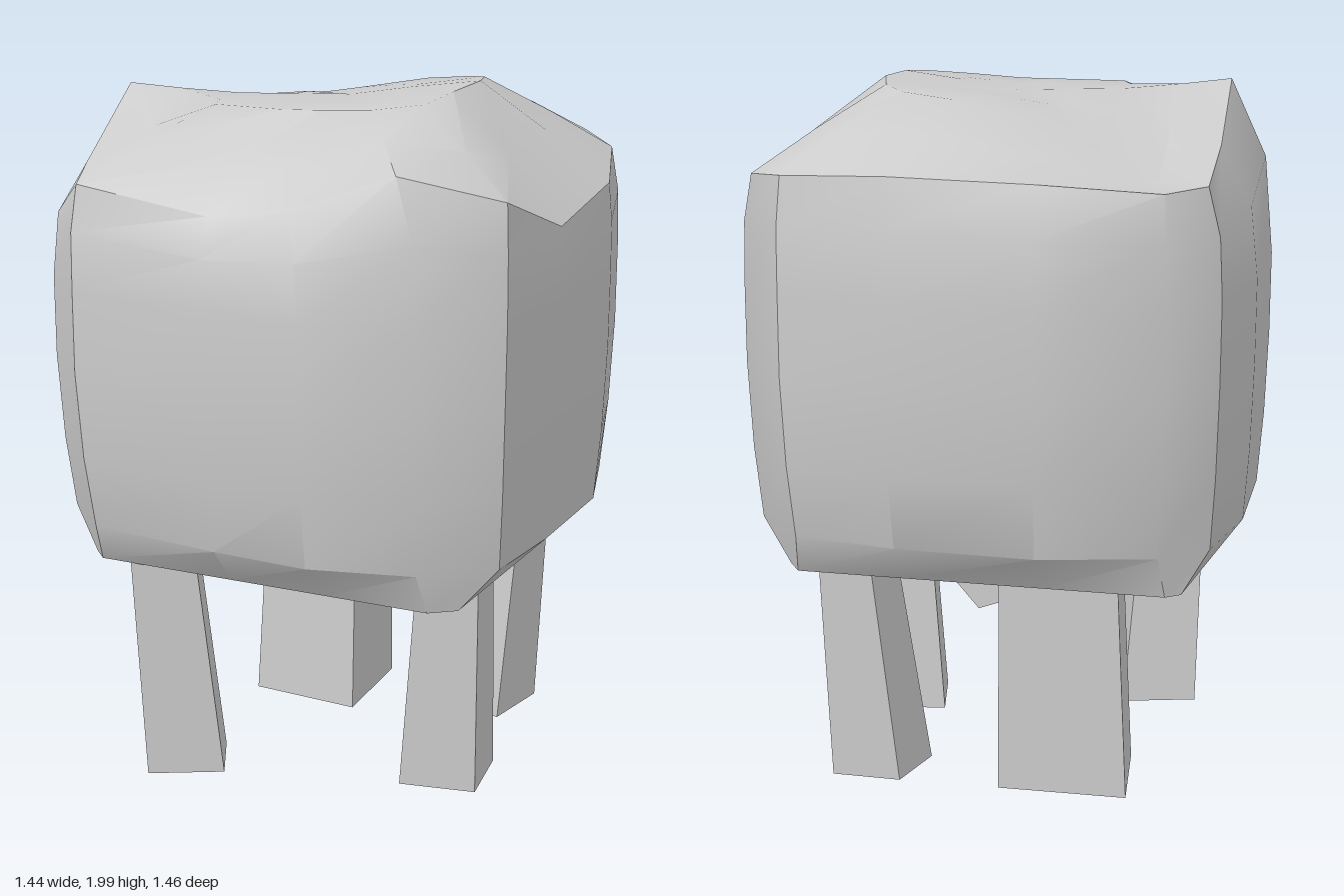
import * as THREE from 'three';
import { toCreasedNormals } from 'three/addons/utils/BufferGeometryUtils.js';

const material = new THREE.MeshStandardMaterial({ color: 0xcccccc, side: THREE.DoubleSide });
const lerp = THREE.MathUtils.lerp;
const clamp = THREE.MathUtils.clamp;

// Stack rings of [x, y, z] points (counter-clockwise from above) and close the chosen ends.
function loft(rings, bottom, top) {
  const n = rings[0].length;
  const positions = rings.flat(2);
  const index = [];
  const cap = (ring, centre, up) => {
    const c = positions.length / 3;
    positions.push(...centre);
    for (let i = 0; i < n; i++) {
      const a = ring * n + i, b = ring * n + (i + 1) % n;
      index.push(c, up ? a : b, up ? b : a);
    }
  };
  for (let j = 0; j < rings.length - 1; j++) {
    for (let i = 0; i < n; i++) {
      const k = (i + 1) % n;
      const a = j * n + i, b = j * n + k, c = b + n, d = a + n;
      index.push(a, b, c, a, c, d);
    }
  }
  if (bottom) cap(0, bottom, false);
  if (top) cap(rings.length - 1, top, true);
  const geometry = new THREE.BufferGeometry();
  geometry.setAttribute('position', new THREE.Float32BufferAttribute(positions, 3));
  geometry.setIndex(index);
  return geometry;
}

function part(name, geometry, crease) {
  const mesh = new THREE.Mesh(toCreasedNormals(geometry, crease), material);
  mesh.name = name;
  return mesh;
}

// Body outline: widest x, z, then the upper rim x, z, y
const outline = [
  [-0.53, 0.66, -0.52, 0.63, 1.77], [-0.12, 0.71, -0.12, 0.65, 1.72],
  [0.17, 0.725, 0.10, 0.62, 1.75], [0.47, 0.65, 0.40, 0.62, 1.86],
  [0.66, 0.50, 0.65, 0.49, 1.79], [0.70, 0.20, 0.69, 0.17, 1.67],
  [0.72, -0.20, 0.70, -0.22, 1.72], [0.65, -0.50, 0.62, -0.50, 1.77],
  [0.50, -0.67, 0.49, -0.65, 1.79], [0.20, -0.72, 0.20, -0.68, 1.80],
  [-0.20, -0.73, -0.20, -0.67, 1.79], [-0.53, -0.65, -0.52, -0.63, 1.77],
  [-0.66, -0.53, -0.62, -0.54, 1.78], [-0.72, -0.22, -0.61, -0.20, 1.84],
  [-0.72, 0.20, -0.59, 0.20, 1.98], [-0.68, 0.51, -0.58, 0.47, 1.80],
];

// Height of the crown: a ridge on the left side, falling away towards the back right
function crownHeight(x, z) {
  const ridge = 0.045 * Math.exp(-((x - 0.33) ** 2) / 0.04 - ((z + 0.05) ** 2) / 0.15);
  return 1.955 + ridge - Math.max(0, -x) * Math.max(0, -z);
}

function bodyGeometry() {
  // Flat square underside
  const rings = [outline.map(([x, z]) => [clamp(x, -0.57, 0.54), 0.67, clamp(z, -0.56, 0.55)])];
  // Bulging walls: y, x scale, z scale
  for (const [y, sx, sz] of [[0.79, 0.97, 0.92], [1.0, 0.99, 0.97], [1.25, 1, 1], [1.48, 1, 0.995]]) {
    rings.push(outline.map(([x, z]) => [x * sx, y, z * sz]));
  }
  // Shoulder and rim: height share, inward share
  for (const [h, f] of [[0.56, 0.2], [1, 1]]) {
    rings.push(outline.map(([x, z, rx, rz, ry]) => [lerp(x, rx, f), lerp(1.48, ry, h), lerp(z, rz, f)]));
  }
  // Lumpy crown: ring scale, share of full height
  for (const [s, f] of [[0.76, 0.56], [0.5, 1], [0.25, 1]]) {
    rings.push(outline.map(([, , rx, rz, ry]) => [rx * s, lerp(ry, crownHeight(rx * s, rz * s), f), rz * s]));
  }
  return loft(rings, [0, 0.67, 0], [0, 1.955, 0]);
}

// Legs: foot corners [x, z], and the point and share by which they draw in at the top
const legs = [
  ['frontRightLeg', [[-0.51, 0.33], [-0.41, 0.54], [-0.21, 0.44], [-0.29, 0.27]], [-0.56, 0.62], 0.82],
  ['frontLeftLeg', [[0.25, 0.10], [0.29, 0.30], [0.51, 0.26], [0.49, 0.05]], [0.54, 0.36], 0.78],
  ['backLeftLeg', [[0.20, -0.26], [0.40, -0.23], [0.45, -0.44], [0.25, -0.44]], [0.55, -0.5], 0.75],
  ['backRightLeg', [[-0.41, -0.42], [-0.38, -0.13], [-0.04, -0.11], [-0.04, -0.43]], [-0.1, -0.5], 0.9],
];

export function createModel() {
  const group = new THREE.Group();
  group.name = 'animal';
  group.add(part('body', bodyGeometry(), 0.54));

  // Tapered legs, open at the foot
  for (const [name, foot, [ax, az], s] of legs) {
    const rings = [
      foot.map(([x, z]) => [x, 0.005, z]),
      foot.map(([x, z]) => [lerp(ax, x, s), 0.69, lerp(az, z, s)]),
    ];
    group.add(part(name, loft(rings), 0.3));
  }

  // Small stub under the belly
  const stub = new THREE.Shape([[-0.04, 0.69], [-0.03, 0.52], [0.05, 0.49], [0.12, 0.57], [0.13, 0.69]]
    .map(([x, y]) => new THREE.Vector2(x, y)));
  const stubGeometry = new THREE.ExtrudeGeometry(stub, { depth: 0.09, bevelEnabled: false });
  stubGeometry.translate(0, 0, -0.275);
  group.add(part('bellyStub', stubGeometry, 0.3));
  return group;
}
